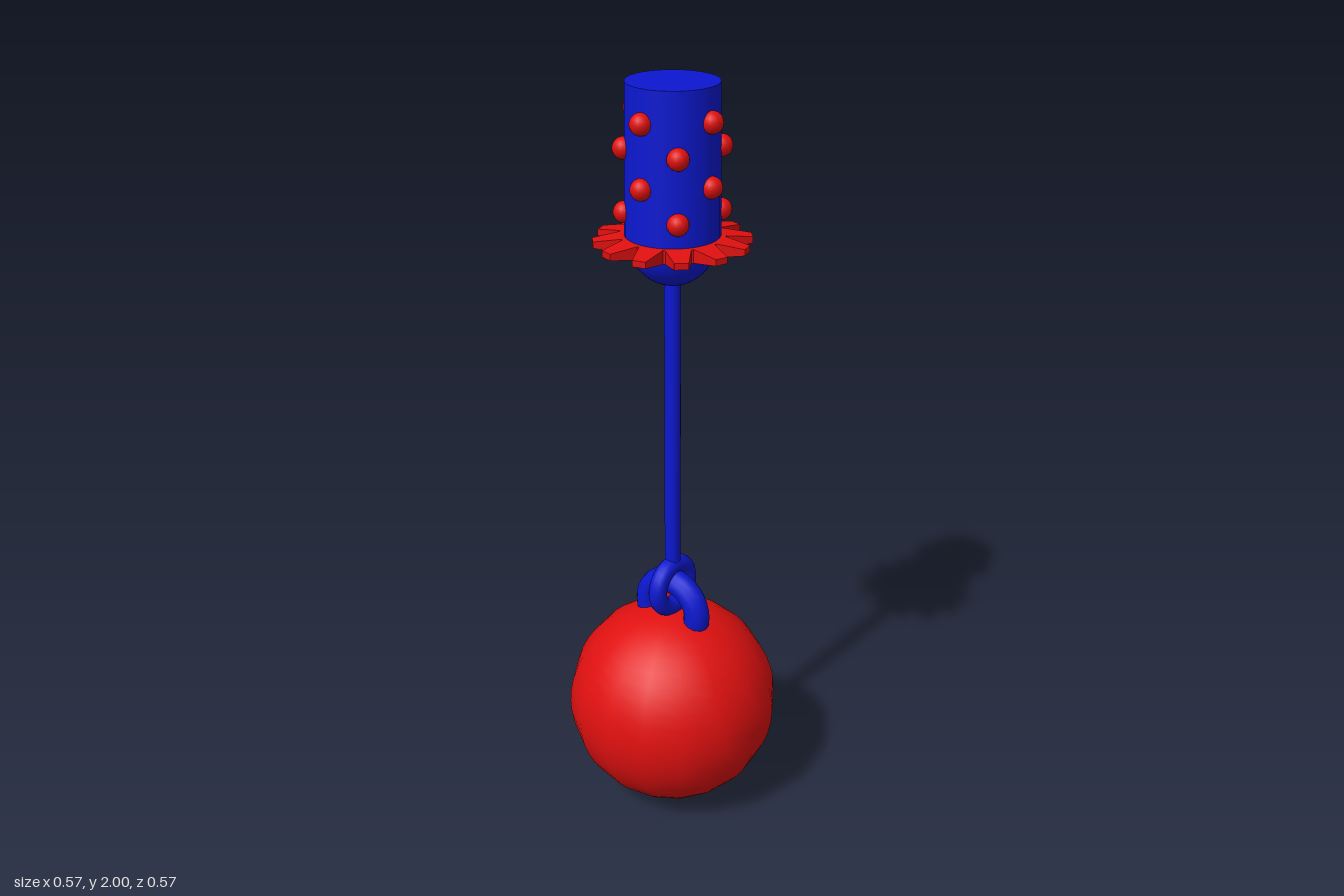
import * as THREE from 'three';

export function createModel() {
  const model = new THREE.Group();
  const red = new THREE.MeshStandardMaterial({ color: 0xe01010 });
  const redFlat = new THREE.MeshStandardMaterial({ color: 0xe01010, flatShading: true });
  const blue = new THREE.MeshStandardMaterial({ color: 0x0c18d0 });

  const add = (name, geometry, material, x = 0, y = 0, z = 0) => {
    const mesh = new THREE.Mesh(geometry, material);
    mesh.name = name;
    mesh.position.set(x, y, z);
    model.add(mesh);
    return mesh;
  };

  // Heavy ball, sixteen sides around
  add('ball', new THREE.SphereGeometry(0.286, 16, 24), red, 0, 0.286, 0);

  // Shackle on the ball and the ring linked through it
  const shackle = add('shackle', new THREE.TorusGeometry(0.083, 0.035, 12, 32), blue, 0, 0.575, 0);
  shackle.rotation.y = Math.PI / 2;
  add('linkRing', new THREE.TorusGeometry(0.063, 0.025, 12, 32), blue, 0, 0.646, 0);

  // Rod from the ring up to the handle
  add('rod', new THREE.CylinderGeometry(0.021, 0.021, 0.83, 16), blue, 0, 1.125, 0);

  // Handle with a rounded lower end
  add('handle', new THREE.CylinderGeometry(0.113, 0.118, 0.39, 32), blue, 0, 1.805, 0);
  add('handleEnd', new THREE.SphereGeometry(0.107, 32, 12, 0, Math.PI * 2, Math.PI / 2, Math.PI / 2),
    blue, 0, 1.612, 0);

  // Four rows of studs, every other row turned by an eighth
  const studGeometry = new THREE.SphereGeometry(0.027, 16, 12);
  [1.92, 1.845, 1.767, 1.69].forEach((y, row) => {
    for (let i = 0; i < 4; i++) {
      const a = (i + (row % 2) / 2) * Math.PI / 2;
      add('stud', studGeometry, red, 0.117 * Math.sin(a), y, 0.117 * Math.cos(a));
    }
  });

  // Toothed collar, thinning towards the tips
  const teeth = 12;
  const outline = [];
  for (let i = 0; i < teeth; i++) {
    const middle = (i + 0.5) * Math.PI * 2 / teeth;
    for (const [r, da] of [[0.13, -0.24], [0.195, -0.088], [0.195, 0.088], [0.13, 0.24]]) {
      outline.push(new THREE.Vector2(r * Math.cos(middle + da), r * Math.sin(middle + da)));
    }
  }
  const shape = new THREE.Shape(outline);
  shape.holes.push(new THREE.Path().absarc(0, 0, 0.1, 0, Math.PI * 2, true));
  const collar = new THREE.ExtrudeGeometry(shape, { depth: 1, bevelEnabled: false, curveSegments: 24 });
  collar.translate(0, 0, -0.5);
  collar.rotateX(-Math.PI / 2);
  const p = collar.attributes.position;
  for (let i = 0; i < p.count; i++) {
    const r = Math.hypot(p.getX(i), p.getZ(i));
    p.setY(i, p.getY(i) * (r > 0.16 ? 0.016 : 0.034));
  }
  collar.computeVertexNormals();
  add('collar', collar, redFlat, 0, 1.615, 0);

  return model;
}
